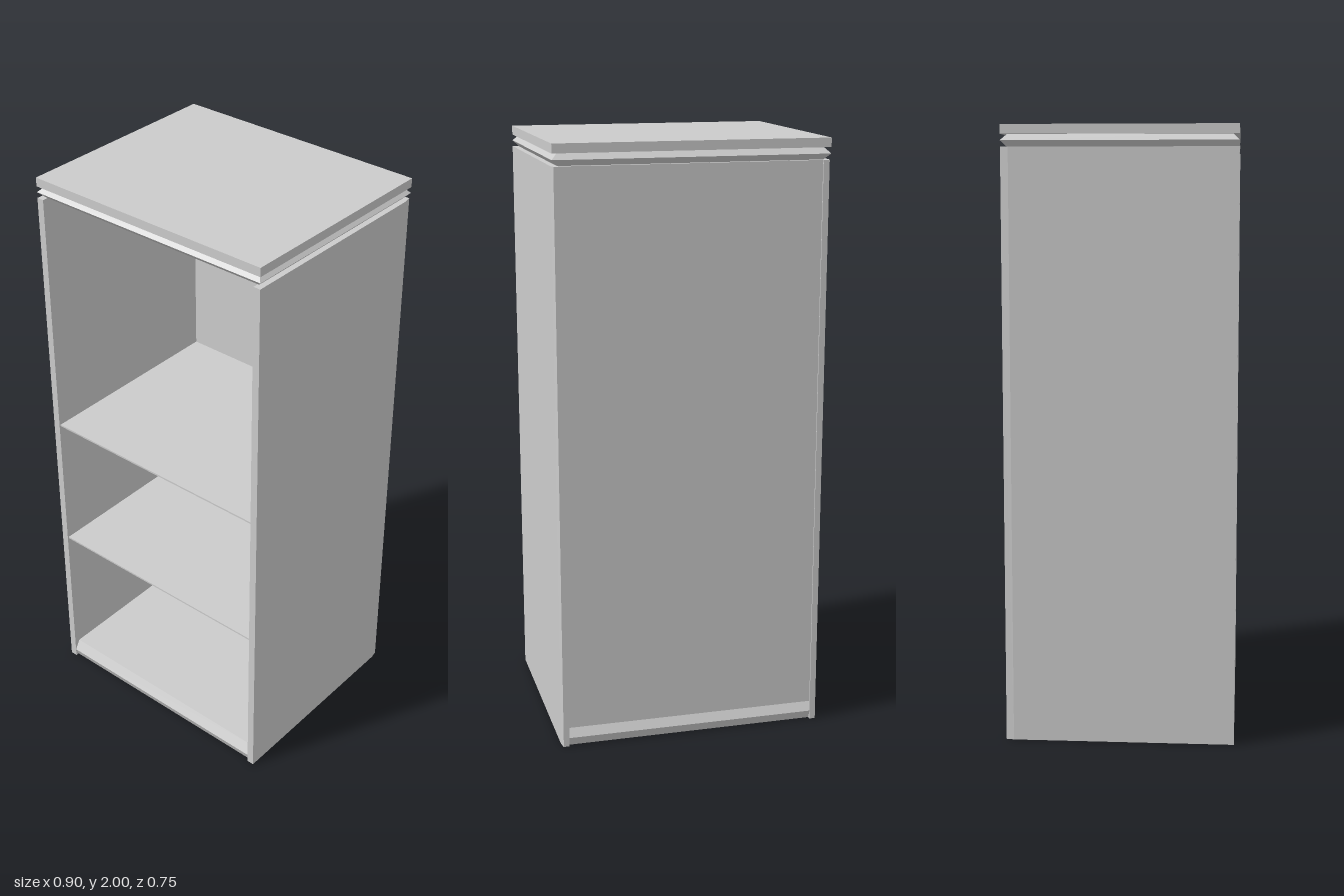
import * as THREE from 'three';

const W = 0.9, D = 0.75, T = 0.025;   // overall width, depth, panel thickness
const BODY_TOP = 1.93;
const material = new THREE.MeshStandardMaterial({ color: 0xcccccc });

function add(group, name, geometry) {
  const mesh = new THREE.Mesh(geometry, material);
  mesh.name = name;
  group.add(mesh);
  return mesh;
}

// Box given by its y range, with its upper and lower rims inset separately
function slab(w, d, y0, y1, insetBottom = [0, 0], insetTop = [0, 0]) {
  const g = new THREE.BoxGeometry(w, y1 - y0, d).translate(0, (y0 + y1) / 2, 0);
  const p = g.attributes.position, mid = (y0 + y1) / 2;
  for (let i = 0; i < p.count; i++) {
    const [ix, iz] = p.getY(i) > mid ? insetTop : insetBottom;
    p.setX(i, p.getX(i) - Math.sign(p.getX(i)) * ix);
    p.setZ(i, p.getZ(i) - Math.sign(p.getZ(i)) * iz);
  }
  g.computeVertexNormals();
  return g;
}

export function createModel() {
  const cabinet = new THREE.Group();
  cabinet.name = 'cabinet';
  const innerW = W - 2 * T;

  // Side panels: footprint with the outer rear corner slightly eased
  for (const s of [1, -1]) {
    const pts = [[W / 2 - T, -D / 2], [W / 2, -D / 2], [W / 2, D / 2 - T],
      [W / 2 - 0.005, D / 2], [W / 2 - T, D / 2]].map(([x, y]) => new THREE.Vector2(s * x, y));
    const g = new THREE.ExtrudeGeometry(new THREE.Shape(pts), { depth: BODY_TOP, bevelEnabled: false });
    g.rotateX(-Math.PI / 2);
    add(cabinet, s > 0 ? 'leftPanel' : 'rightPanel', g);
  }

  // Back panel, stopping above the base
  const back = add(cabinet, 'backPanel', new THREE.BoxGeometry(innerW, BODY_TOP - 0.065, T));
  back.position.set(0, (BODY_TOP + 0.065) / 2, -D / 2 + 0.005 + T / 2);

  // Base board with a ridged front and rear edge
  add(cabinet, 'baseLower', slab(innerW, D, 0, 0.03, [0, 0.012]));
  add(cabinet, 'baseUpper', slab(innerW, D, 0.03, 0.065, [0, 0], [0, 0.02]));

  // Thin shelves
  for (const y of [0.575, 1.07]) {
    const shelf = add(cabinet, 'shelf', new THREE.BoxGeometry(innerW, 0.006, D - 0.035));
    shelf.position.set(0, y, 0.0125);
  }

  // Top: chamfered moulding below a flat slab
  const inset = [0.02, 0.02];
  add(cabinet, 'mouldingLower', slab(W, D, BODY_TOP, 1.95, inset));
  add(cabinet, 'mouldingUpper', slab(W, D, 1.95, 1.97, [0, 0], inset));
  add(cabinet, 'topSlab', slab(W, D, 1.97, 2));

  return cabinet;
}
